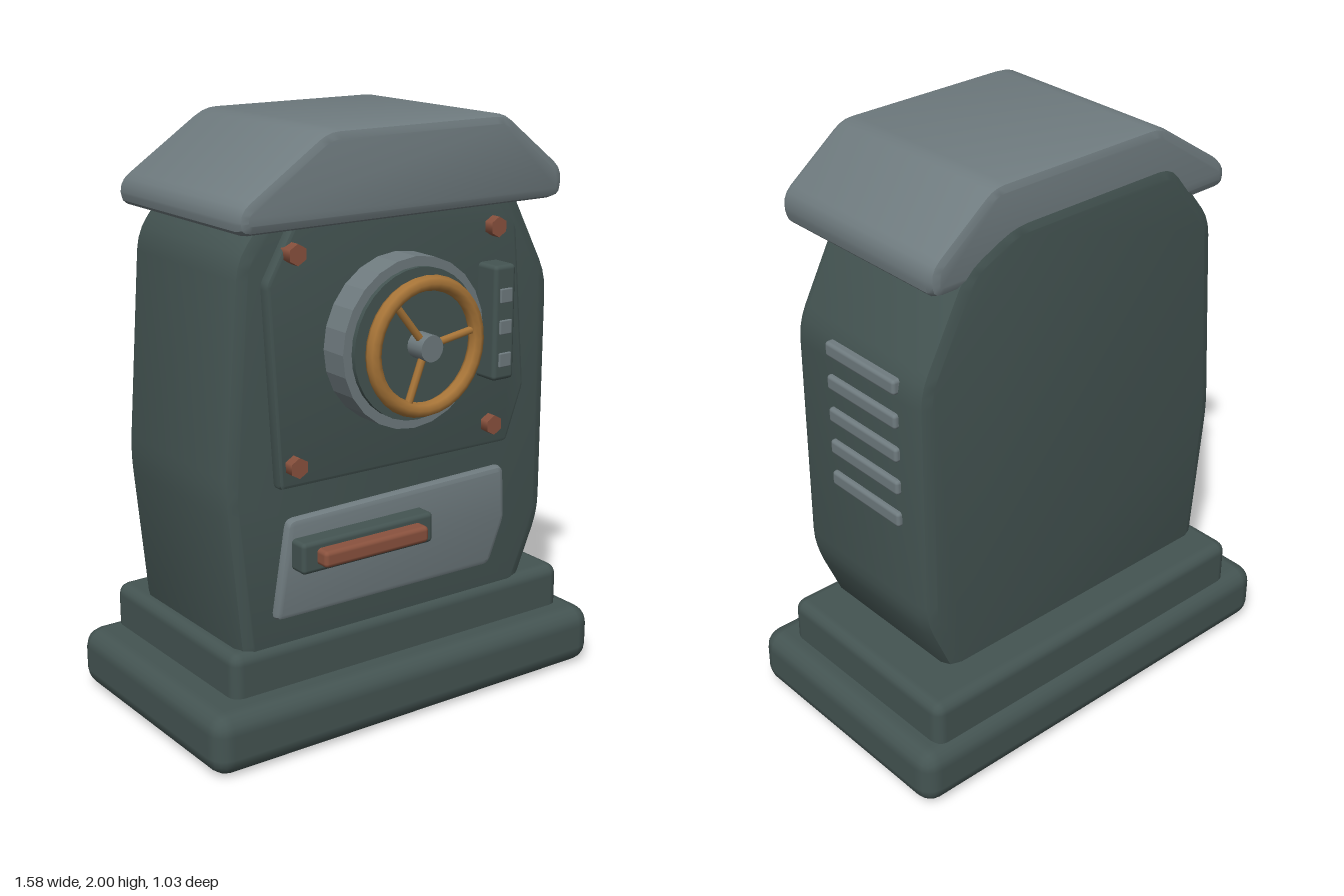
import * as THREE from 'three';
import { toCreasedNormals } from 'three/addons/utils/BufferGeometryUtils.js';
import { RoundedBoxGeometry } from 'three/addons/geometries/RoundedBoxGeometry.js';

const mat = (name, color) => {
  const m = new THREE.MeshStandardMaterial({ color });
  m.name = name;
  return m;
};

// Closed shape with softened corners
function softShape(points, radius) {
  const p = points.map(([x, y]) => new THREE.Vector2(x, y));
  const shape = new THREE.Shape();
  p.forEach((c, i) => {
    const toward = (q) => {
      const d = q.clone().sub(c);
      return c.clone().addScaledVector(d, Math.min(radius / d.length(), 0.45));
    };
    const a = toward(p[(i + p.length - 1) % p.length]);
    const b = toward(p[(i + 1) % p.length]);
    if (i === 0) shape.moveTo(a.x, a.y);
    else shape.lineTo(a.x, a.y);
    shape.quadraticCurveTo(c.x, c.y, b.x, b.y);
  });
  shape.closePath();
  return shape;
}

// Bevelled slab of a profile (counter-clockwise) between two depths
function slab(points, zBack, zFront, bevel) {
  const geo = new THREE.ExtrudeGeometry(softShape(points, bevel * 1.4), {
    depth: zFront - zBack - 2 * bevel,
    bevelEnabled: true, bevelThickness: bevel, bevelSize: bevel,
    bevelOffset: -bevel, bevelSegments: 2, curveSegments: 3,
  });
  geo.translate(0, 0, zBack + bevel);
  return toCreasedNormals(geo, 0.55);
}

// Rounded box given by its limits on each axis
function block([x0, x1], [y0, y1], [z0, z1], radius) {
  const geo = new RoundedBoxGeometry(x1 - x0, y1 - y0, z1 - z0, 2, radius);
  return geo.translate((x0 + x1) / 2, (y0 + y1) / 2, (z0 + z1) / 2);
}

// Cylinder facing the front, between two depths
function disc(x, y, z0, z1, radius, sides) {
  const geo = new THREE.CylinderGeometry(radius, radius, z1 - z0, sides);
  return geo.rotateX(Math.PI / 2).translate(x, y, (z0 + z1) / 2);
}

export function createModel() {
  const green = mat('dark green paint', 0x445452);
  const grey = mat('grey steel', 0x6f7b7f);
  const brass = mat('brass', 0xa87538);
  const rust = mat('rusty copper', 0x8a523e);

  const model = new THREE.Group();
  model.name = 'ironSafe';
  const add = (name, geometry, material, parent = model) => {
    const mesh = new THREE.Mesh(geometry, material);
    mesh.name = name;
    parent.add(mesh);
    return mesh;
  };

  // Stepped plinth
  add('plinthBase', block([-0.79, 0.79], [0, 0.21], [-0.515, 0.405], 0.065), green);
  add('plinthStep', block([-0.665, 0.71], [0.12, 0.36], [-0.475, 0.305], 0.04), green);

  // Lopsided body
  add('body', slab([
    [-0.62, 0.3], [0.52, 0.3], [0.635, 0.57], [0.635, 1.43], [0.45, 1.78],
    [0.26, 1.87], [-0.42, 1.87], [-0.62, 1.62], [-0.675, 0.875],
  ], -0.342, 0.288, 0.045), green);

  // Overhanging roof
  add('roof', slab([
    [-0.675, 1.71], [0.57, 1.71], [0.575, 1.81], [0.33, 2], [-0.36, 2], [-0.675, 1.79],
  ], -0.332, 0.405, 0.03), grey);

  // Door with corner bolts
  add('door', slab([
    [-0.495, 0.885], [0.425, 0.88], [0.495, 1.07], [0.445, 1.62],
    [0.35, 1.74], [-0.42, 1.74], [-0.535, 1.54],
  ], 0.27, 0.325, 0.012), green);
  for (const x of [-0.445, 0.34]) {
    for (const y of [0.96, 1.63]) {
      add('doorBolt', disc(x, y, 0.31, 0.36, 0.034, 6).toNonIndexed(), rust);
    }
  }

  // Dial behind the wheel
  const cx = -0.053, cy = 1.315;
  add('dialRing', toCreasedNormals(disc(cx, cy, 0.315, 0.428, 0.277, 24), 0.2), grey);
  add('dialFace', disc(cx, cy, 0.42, 0.444, 0.245, 32), green);

  // Three-spoked hand wheel
  const wheel = new THREE.Group();
  wheel.name = 'handWheel';
  wheel.position.set(cx, cy, 0.482);
  model.add(wheel);
  add('wheelRim', new THREE.TorusGeometry(0.202, 0.025, 8, 32), brass, wheel);
  for (let i = 0; i < 3; i++) {
    const spoke = new THREE.CylinderGeometry(0.013, 0.013, 0.19, 8).translate(0, 0.1, 0);
    const angle = THREE.MathUtils.degToRad(9 + 120 * i - 90);
    add('wheelSpoke', spoke.rotateZ(angle), brass, wheel);
  }
  add('wheelHub', disc(0, 0, -0.042, 0.033, 0.043, 16), grey, wheel);

  // Switch box with three buttons
  add('switchBox', block([0.285, 0.373], [1.13, 1.515], [0.31, 0.413], 0.015), green);
  for (const y of [1.2, 1.31, 1.415]) {
    add('switchButton', block([0.304, 0.354], [y - 0.024, y + 0.024], [0.39, 0.42], 0.004), grey);
  }

  // Lower drawer and its pull
  add('drawer', slab([
    [-0.51, 0.445], [0.37, 0.44], [0.435, 0.6], [0.425, 0.79], [-0.455, 0.775],
  ], 0.25, 0.318, 0.018), grey);
  add('pullPlate', block([-0.45, 0.068], [0.61, 0.715], [0.3, 0.382], 0.015), green);
  add('pullBar', block([-0.397, 0.015], [0.636, 0.692], [0.36, 0.43], 0.015), rust);

  // Vent slats on the left side
  for (let i = 0; i < 5; i++) {
    const y = 0.936 + 0.119 * i;
    add('ventSlat', block([0.6, 0.652], [y - 0.026, y + 0.026], [-0.235, 0.105], 0.012), grey);
  }

  return model;
}
